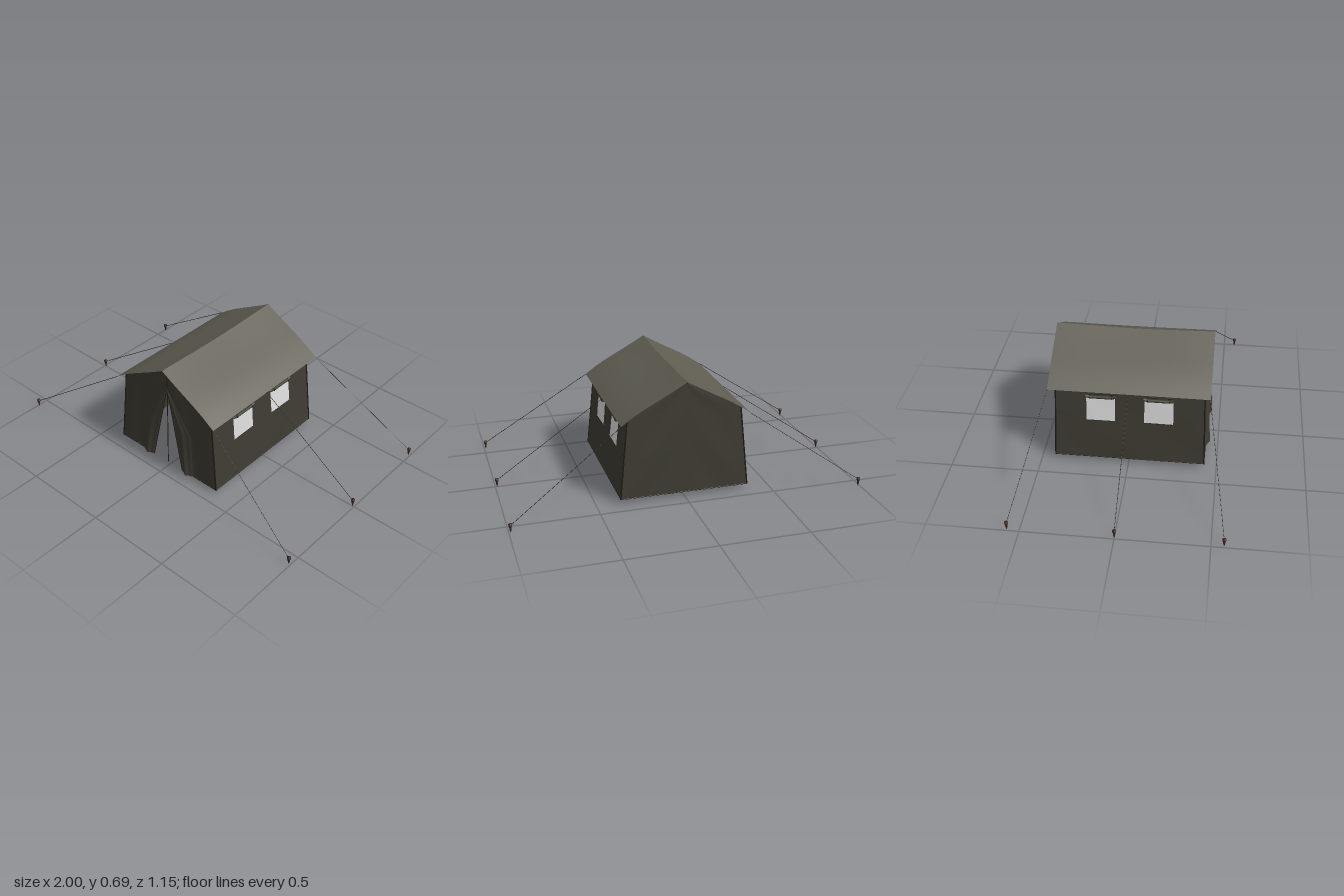
import * as THREE from 'three';

const mat = (name, color, side = THREE.FrontSide) => {
  const m = new THREE.MeshStandardMaterial({ color, side });
  m.name = name;
  return m;
};
const lerp = THREE.MathUtils.lerp;
const range = (a, b, n) => Array.from({ length: n + 1 }, (_, i) => lerp(a, b, i / n));

// Cloth sheet: a grid over us x vs, placed by point(u, v); cells where hole(u, v) is true are left out
function sheet(us, vs, point, hole = () => false) {
  const pos = [], idx = [], w = us.length;
  for (const v of vs) for (const u of us) pos.push(...point(u, v));
  for (let j = 0; j < vs.length - 1; j++) {
    for (let i = 0; i < w - 1; i++) {
      if (hole((us[i] + us[i + 1]) / 2, (vs[j] + vs[j + 1]) / 2)) continue;
      const a = j * w + i;
      idx.push(a, a + 1, a + w + 1, a, a + w + 1, a + w);
    }
  }
  const g = new THREE.BufferGeometry();
  g.setAttribute('position', new THREE.Float32BufferAttribute(pos, 3));
  g.setIndex(idx);
  g.computeVertexNormals();
  return g;
}

export function createModel() {
  const root = new THREE.Group();
  root.name = 'tent';
  const wallCloth = mat('wallCanvas', 0x3d3b32, THREE.DoubleSide);
  const roofCloth = mat('roofCanvas', 0x605e52, THREE.DoubleSide);
  const pane = mat('windowPane', 0xdddddd, THREE.DoubleSide);
  const dark = mat('seamAndRope', 0x1e1c18);
  const wood = mat('stakeBrown', 0x3a2319);

  const add = (name, geo, material, parent = root) => {
    const m = new THREE.Mesh(geo, material);
    m.name = name;
    parent.add(m);
    return m;
  };
  // Thin round bar between two points
  const bar = (name, a, b, r, material, parent = root) => {
    const p = new THREE.Vector3(...a), q = new THREE.Vector3(...b);
    const m = add(name, new THREE.CylinderGeometry(r, r, p.distanceTo(q), 8), material, parent);
    m.position.copy(p).add(q).multiplyScalar(0.5);
    m.quaternion.setFromUnitVectors(new THREE.Vector3(0, 1, 0), q.sub(p).normalize());
    return m;
  };

  const base = 0.03, wallTop = 0.497, ridge = 0.68;
  const wallX = y => lerp(0.368, 0.322, (y - base) / (wallTop - base));
  const halfWidth = y => y <= wallTop ? wallX(y) : 0.322 * (ridge - y) / (ridge - wallTop);
  const frontZ = y => lerp(0.43, 0.412, (y - base) / 0.65);
  const backZ = y => lerp(-0.42, -0.406, (y - base) / 0.65);
  const doorTop = 0.545;
  const doorX = y => Math.max(0, 0.11 * (doorTop - y) / (doorTop - base));

  const winZ = [[-0.245, -0.082], [0.082, 0.245]], winY = [0.27, 0.42];
  const inWindow = (z, y) => y > winY[0] && y < winY[1] && winZ.some(([a, b]) => z > a && z < b);
  const gableYs = [...range(base, wallTop, 10), ...range(wallTop, ridge, 5).slice(1)];

  for (const s of [-1, 1]) {
    const side = new THREE.Group();
    side.name = s > 0 ? 'leftHalf' : 'rightHalf';
    root.add(side);

    // Side wall with two window openings; t runs from the back corner to the front corner
    const sidePoint = (z, y) => {
      const t = (z + 0.42) / 0.84;
      const fold = 0.003 * Math.sin(9 * z + 14 * y) * Math.sin(Math.PI * t) * (1 - y);
      return [s * (wallX(y) + fold), y, lerp(backZ(y), frontZ(y), t)];
    };
    const zs = [...range(-0.42, -0.245, 5), ...range(-0.245, -0.082, 4).slice(1),
      ...range(-0.082, 0.082, 4).slice(1), ...range(0.082, 0.245, 4).slice(1),
      ...range(0.245, 0.42, 5).slice(1)];
    const ys = [...range(base, 0.27, 6), ...range(0.27, 0.42, 4).slice(1), 0.46, wallTop];
    add('sideWall', sheet(zs, ys, sidePoint, inWindow), wallCloth, side);

    // Windows with a rolled-up cover, ties and a stitched lower edge
    for (const [a, b] of winZ) {
      add('windowPane', sheet(range(a, b, 4), range(...winY, 4), sidePoint), pane, side);
      const roll = new THREE.CatmullRomCurve3(range(a - 0.004, b + 0.004, 6).map((z, i) => {
        const [x, y, zz] = sidePoint(z, 0.426 - (i % 6 ? 0.006 : 0));
        return new THREE.Vector3(x + s * 0.007, y, zz);
      }));
      add('rolledWindowCover', new THREE.TubeGeometry(roll, 18, 0.009, 8), wallCloth, side);
      bar('windowCoverSeam', sidePoint(a, 0.436), sidePoint(b, 0.436), 0.003, dark, side);
      bar('windowSill', sidePoint(a, 0.27), sidePoint(b, 0.27), 0.0018, dark, side);
      for (const k of [0.12, 0.88]) {
        const tie = add('coverTie', new THREE.TorusGeometry(0.0105, 0.0018, 6, 14), dark, side);
        const p = sidePoint(lerp(a, b, k), 0.422);
        tie.position.set(p[0] + s * 0.007, p[1], p[2]);
      }
    }

    // Front and back gable halves
    add('frontWall', sheet(range(0, 1, 12), gableYs, (u, y) => [
      s * lerp(doorX(y), halfWidth(y), u), y,
      frontZ(y) + 0.004 * Math.sin(u * 9) * Math.sin(Math.PI * u) * (1 - y),
    ]), wallCloth, side);
    add('backWall', sheet(range(0, 1, 12), gableYs, (u, y) => [
      s * halfWidth(y) * u, y,
      backZ(y) - 0.004 * Math.sin(u * 7 + y * 16) * Math.sin(Math.PI * u) * (1 - y),
    ]), wallCloth, side);

    // Door flap drawn aside in soft pleats, fuller towards the ground
    const flapOuter = y => y > 0.3 ? 0.18 * (doorTop - y) / (doorTop - 0.3) : lerp(0.195, 0.18, (y - base) / 0.27);
    const flapYs = [...range(base, 0.3, 6), ...range(0.3, doorTop, 5).slice(1)];
    add('doorFlap', sheet(range(0, 1, 16), flapYs, (u, y) => {
      const full = lerp(1, 0.15, (y - base) / (doorTop - base));
      const pleat = Math.sin(Math.PI * u) * (0.017 + 0.005 * Math.cos(4 * Math.PI * u));
      return [s * lerp(doorX(y), flapOuter(y), u), y, frontZ(y) + 0.002 + full * pleat];
    }), wallCloth, side);
    bar('doorEdge', [0, doorTop, frontZ(doorTop) + 0.002], [s * 0.11, base, frontZ(base) + 0.002], 0.002, dark, side);

    // Roof slope with a sagging ridge and slightly rounded fall to the eaves
    add('roofSlope', sheet(range(0, 1, 10), range(-0.45, 0.45, 20), (u, z) => {
      const sag = 0.009 * Math.pow(Math.cos(z / 0.45 * Math.PI / 2), 1.5) * (1 - u);
      return [s * 0.366 * u, 0.685 - 0.215 * u + 0.009 * Math.sin(Math.PI * u * u) - sag, z];
    }), roofCloth, side);

    // Corner seams, wall hem and inner middle seam
    for (const zAt of [frontZ, backZ]) {
      bar('cornerSeam', [s * wallX(base), base, zAt(base)], [s * wallX(wallTop), wallTop, zAt(wallTop)], 0.004, dark, side);
    }
    bar('sideHem', [s * 0.367, base, backZ(base)], [s * 0.367, base, frontZ(base)], 0.0025, dark, side);
    bar('frontHem', [s * 0.11, base, frontZ(base)], [s * 0.368, base, frontZ(base)], 0.002, dark, side);
    bar('middleSeam', [s * 0.362, base, 0], [s * 0.317, wallTop, 0], 0.002, dark, side);

    // Guy ropes and stakes
    for (const k of [-1, 0, 1]) {
      const z = k * 0.567;
      bar('guyRope', [s * 0.364, 0.471, k * 0.448], [s * 0.99, 0.04, z], 0.0015, dark, side);
      const stake = add('stake', new THREE.LatheGeometry([
        [0, 0], [0.004, 0.012], [0.007, 0.034], [0.01, 0.038], [0.01, 0.05], [0, 0.054],
      ].map(p => new THREE.Vector2(...p)), 10), wood, side);
      stake.position.set(s * 0.99, 0, z);
    }
  }

  // Back hem and the thin pole in the doorway
  bar('backHem', [-0.368, base, backZ(base)], [0.368, base, backZ(base)], 0.0025, dark);
  bar('doorPole', [0, base, frontZ(base)], [0, 0.665, frontZ(0.665)], 0.0025, dark);
  return root;
}
